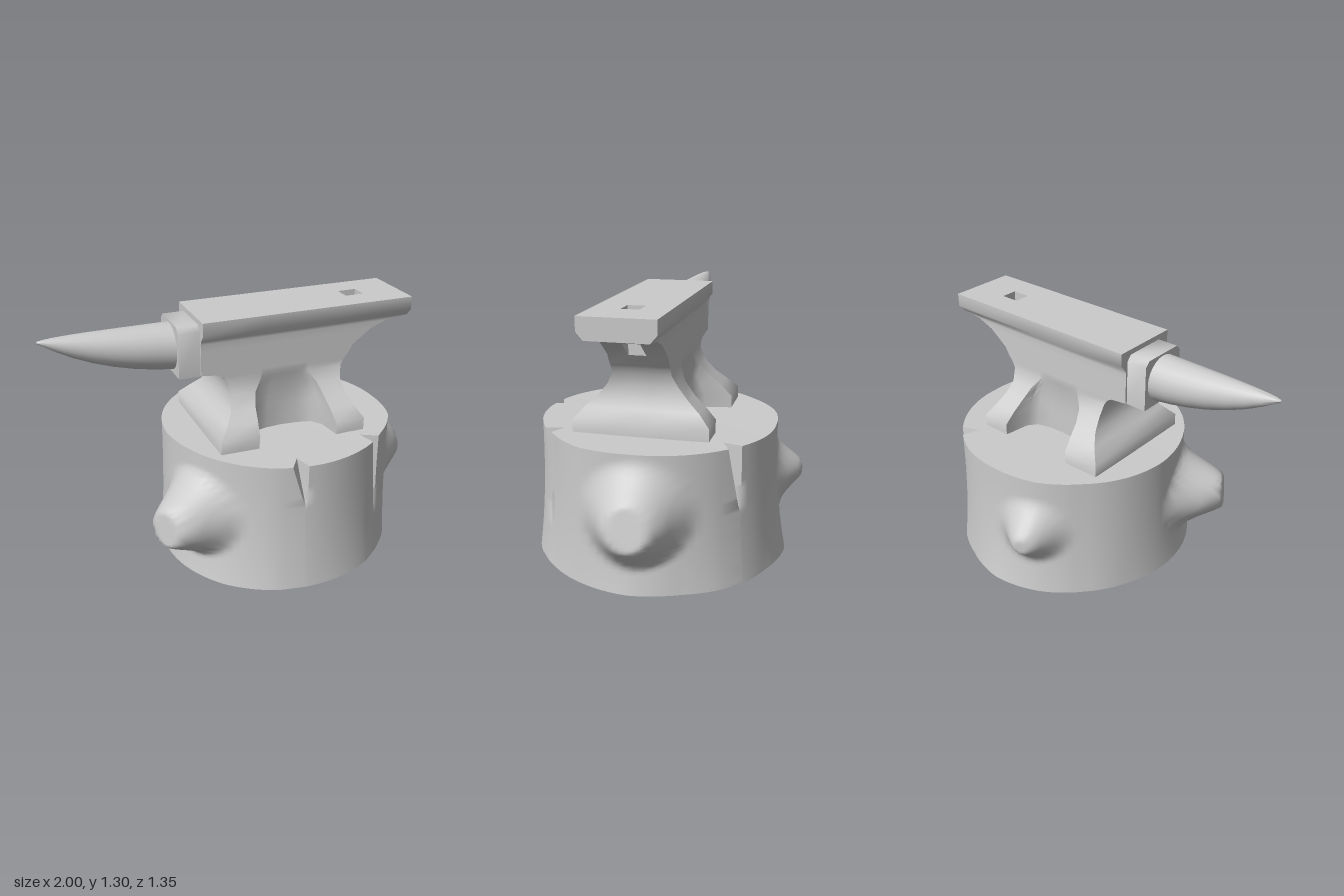
import * as THREE from 'three';
import { toCreasedNormals } from 'three/addons/utils/BufferGeometryUtils.js';

const grey = new THREE.MeshStandardMaterial({ color: 0xcccccc });
const greyDouble = new THREE.MeshStandardMaterial({ color: 0xcccccc, side: THREE.DoubleSide });
const ANVIL_Z = 0.045;

// Skin closed rings of [x, y, z]; cap is an optional point closing the last ring.
function loft(rings, { cap, skip = () => false, crease = 1 } = {}) {
  const n = rings[0].length, index = [], points = rings.flat();
  for (let r = 0; r + 1 < rings.length; r++) {
    for (let i = 0; i < n; i++) {
      if (skip(r, i)) continue;
      const a = r * n + i, b = r * n + (i + 1) % n;
      index.push(a, b, b + n, a, b + n, a + n);
    }
  }
  if (cap) {
    const last = (rings.length - 1) * n;
    for (let i = 0; i < n; i++) index.push(last + i, last + (i + 1) % n, points.length);
    points.push(cap);
  }
  const geo = new THREE.BufferGeometry();
  geo.setAttribute('position', new THREE.Float32BufferAttribute(points.flat(), 3));
  geo.setIndex(index);
  return toCreasedNormals(geo, crease);
}

function add(group, name, geo, mat = grey) {
  const mesh = new THREE.Mesh(geo, mat);
  mesh.name = name;
  group.add(mesh);
  return mesh;
}

// Pull a wall point out into a knot: a tapering stub with a flat, slightly tilted tip
function pullKnot([x, y, z], k) {
  const len = Math.hypot(k.x, k.z), dx = k.x / len, dz = k.z / len;
  let along = x * dx + z * dz, u = x * dz - z * dx, v = y - k.y;
  const s = Math.hypot(u, v);
  if (along < 0 || s > k.reach) return [x, y, z];
  const f = THREE.MathUtils.smoothstep(k.reach - s, 0, k.reach - k.flat);
  u *= 1 - 0.3 * f;
  v *= 1 - 0.3 * f;
  along += (k.tip - k.tilt * v - along) * f;
  return [dx * along + dz * u, k.y + v, dz * along - dx * u];
}

// Hollow, uneven stump wall with knots and V-shaped cracks at the rim
function stumpGeometry() {
  const N = 96, ROWS = 36, H = 0.678, step = Math.PI * 2 / N;
  // Radii every 22.5 degrees, from the model's left round by the back
  const base = [0.65, 0.635, 0.65, 0.64, 0.655, 0.64, 0.62, 0.62, 0.635, 0.65, 0.66, 0.655, 0.64, 0.635, 0.625, 0.635];
  const rim = [0.605, 0.61, 0.61, 0.61, 0.595, 0.6, 0.59, 0.6, 0.605, 0.6, 0.605, 0.61, 0.605, 0.595, 0.59, 0.615];
  const sample = (list, q) => {
    const i = Math.floor(q), next = list[(i + 1) % list.length];
    return THREE.MathUtils.lerp(list[i % list.length], next, q - i);
  };
  const cracks = [
    { k: 69, bottom: 0.45 }, { k: 82, bottom: 0.2 }, { k: 13, bottom: 0.35 },
  ];
  const knots = [
    { x: 1, z: -0.06, y: 0.385, tip: 0.768, tilt: 0.25, flat: 0.135, reach: 0.27 },
    { x: -0.88, z: 0.47, y: 0.35, tip: 0.84, tilt: 0.1, flat: 0.125, reach: 0.245 },
    { x: -0.34, z: -0.94, y: 0.37, tip: 0.745, tilt: 0, flat: 0.05, reach: 0.2 },
  ];
  const rings = [];
  for (let r = 0; r <= ROWS; r++) {
    const t = r / ROWS, y = t * H;
    const ring = [];
    for (let i = 0; i < N; i++) {
      let a = i * step, cut = 0;
      for (const c of cracks) {
        const open = Math.max(0, (y - c.bottom) / (H - c.bottom));
        if (i === c.k - 1) a += (1 - open) * 1.7 * step;
        if (i === c.k) { a += (1 - open) * 0.8 * step; cut = 0.09 * open; }
      }
      const q = a * 8 / Math.PI;
      const rad = THREE.MathUtils.lerp(sample(rim, q), sample(base, q), (1 - t) ** 2.5) - cut;
      let p = [Math.cos(a) * rad, y, -Math.sin(a) * rad];
      for (const k of knots) p = pullKnot(p, k);
      ring.push([0.21 + p[0], p[1], 0.035 + p[2]]);
    }
    rings.push(ring);
  }
  return loft(rings, { cap: [0.21, 0.67, 0.035], crease: 1.12 });
}

// Feet, arched waist, heel and upper block, with a square opening under the heel
function bodyGeometry() {
  // y, left x, right x, half depth, arch half depth, arch half width
  const levels = [
    [0.66, -0.22, 0.565, 0.335, 0.12, 0.215],
    [0.74, -0.22, 0.565, 0.335, 0.12, 0.21],
    [0.80, -0.165, 0.53, 0.28, 0.12, 0.2],
    [0.85, -0.125, 0.51, 0.225, 0.122, 0.19],
    [0.91, -0.11, 0.5, 0.175, 0.128, 0.17],
    [0.97, -0.115, 0.515, 0.145, 0.138, 0.13],
    [1.00, -0.135, 0.53, 0.145, 0.145, 0.13],
    [1.015, -0.16, 0.54, 0.145, 0.145, 0.13],
    [1.025, -0.25, 0.55, 0.145, 0.145, 0.13],
    [1.075, -0.25, 0.58, 0.145, 0.145, 0.13],
    [1.15, -0.25, 0.68, 0.145, 0.145, 0.13],
    [1.185, -0.25, 0.77, 0.145, 0.145, 0.13],
    [1.2, -0.25, 0.89, 0.147, 0.147, 0.13],
    [1.238, -0.25, 0.89, 0.18, 0.18, 0.13],
    [1.305, -0.25, 0.89, 0.18, 0.18, 0.13],
  ];
  const half = [[1, 1], [0.92, 0.35], [0.75, 0.12], [0.4, 0.03]];
  const arch = [...half.map(([u, f]) => [-u, f]), [0, 0], ...half.toReversed()];
  const rings = levels.map(([y, xl, xr, hz, hn, w]) => {
    const front = [
      [xl, y, hz],
      ...arch.map(([u, f]) => [0.195 + u * w, y, hn + (hz - hn) * f]),
      [xr, y, hz],
    ];
    const back = front.map(([x, , z]) => [x, y, -z]).reverse();
    return [...front, [xr, y, 0.043], [xr, y, -0.043], ...back];
  });
  return loft(rings, { skip: (r, i) => r === 9 && i === 11 });
}

// Flat working face with a square hole
function faceGeometry() {
  const rect = (T, x0, x1, h) => new T([[x0, -h], [x1, -h], [x1, h], [x0, h]]
    .map(([x, y]) => new THREE.Vector2(x, y)));
  const shape = rect(THREE.Shape, -0.25, 0.89, 0.18);
  shape.holes.push(rect(THREE.Path, 0.58, 0.68, 0.043));
  return new THREE.ShapeGeometry(shape).rotateX(-Math.PI / 2).translate(0, 1.305, 0);
}

// Walls of the square hole, cut off along the sloping heel
function holeGeometry() {
  const geo = new THREE.CylinderGeometry(Math.SQRT1_2, Math.SQRT1_2, 1, 4, 1, true)
    .rotateY(Math.PI / 4).scale(0.1, 0.105, 0.086).translate(0.63, 1.2525, 0);
  const p = geo.attributes.position;
  for (let i = 0; i < p.count; i++) {
    if (p.getY(i) < 1.25) p.setY(i, p.getX(i) < 0.63 ? 1.075 : 1.15);
  }
  return toCreasedNormals(geo, 0.5);
}

// Tapering horn, nearly level on top and curving up below
function hornGeometry() {
  // x, top y, bottom y, half width
  const sections = [
    [-0.35, 1.268, 1.03, 0.117], [-0.45, 1.268, 1.042, 0.11], [-0.55, 1.268, 1.06, 0.1],
    [-0.65, 1.268, 1.085, 0.087], [-0.75, 1.268, 1.118, 0.07], [-0.84, 1.267, 1.156, 0.051],
    [-0.92, 1.264, 1.198, 0.031], [-0.97, 1.26, 1.228, 0.016], [-0.995, 1.256, 1.244, 0.006],
  ];
  const rings = sections.map(([x, top, bottom, w]) => Array.from({ length: 24 }, (_, i) => {
    const a = i / 24 * Math.PI * 2;
    return [x, (top + bottom) / 2 + Math.sin(a) * (top - bottom) / 2, Math.cos(a) * w];
  }));
  return loft(rings, { cap: [-1, 1.25, 0] });
}

// Block between horn and body, with softened upper corners
function collarGeometry() {
  const outline = [[-0.135, 1.02], [0.135, 1.02], [0.135, 1.25], [0.11, 1.278], [-0.11, 1.278], [-0.135, 1.25]];
  const shape = new THREE.Shape(outline.map(([x, y]) => new THREE.Vector2(x, y)));
  const geo = new THREE.ExtrudeGeometry(shape, { depth: 0.11, bevelEnabled: false })
    .rotateY(-Math.PI / 2).translate(-0.25, 0, 0);
  return toCreasedNormals(geo, 1);
}

export function createModel() {
  const model = new THREE.Group();
  model.name = 'anvilOnStump';
  add(model, 'stump', stumpGeometry(), greyDouble);

  const anvil = new THREE.Group();
  anvil.name = 'anvil';
  anvil.position.z = ANVIL_Z;
  add(anvil, 'body', bodyGeometry());
  // The collar covers the body's horn end
  add(anvil, 'face', faceGeometry());
  add(anvil, 'squareHole', holeGeometry(), greyDouble);
  add(anvil, 'collar', collarGeometry());
  add(anvil, 'horn', hornGeometry());
  model.add(anvil);
  return model;
}
